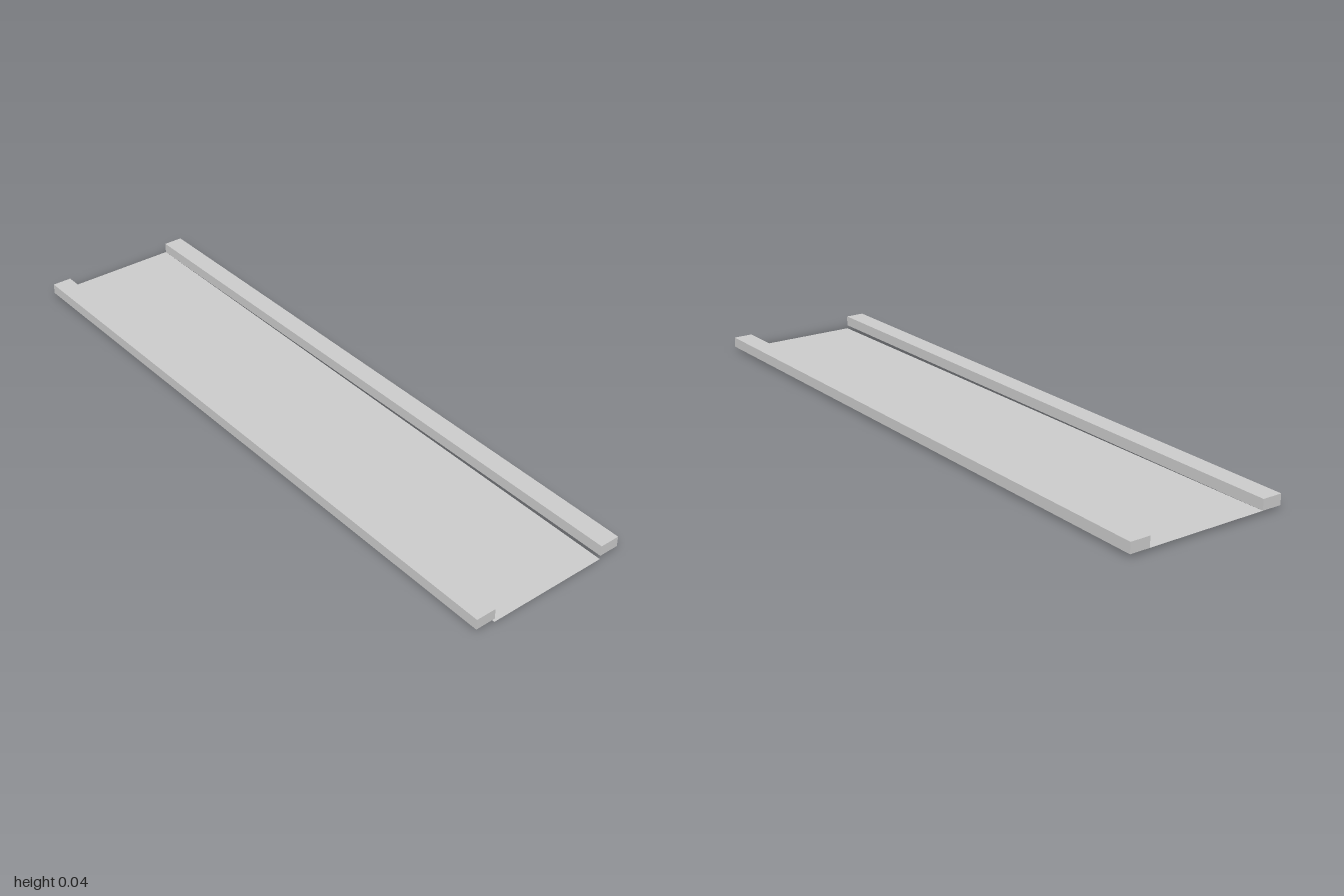
import * as THREE from 'three';

const LENGTH = 2, INNER = 0.188, OUTER = 0.25, RIM = 0.011, TOP = 0.043;

export function createModel() {
  const group = new THREE.Group();
  const material = new THREE.MeshStandardMaterial({ color: 0xcccccc, flatShading: true, side: THREE.DoubleSide });

  // Thin deck sheet, sloping gently down towards the front
  const deckGeometry = new THREE.PlaneGeometry(2 * INNER, LENGTH).rotateX(-Math.PI / 2);
  const position = deckGeometry.attributes.position;
  for (let i = 0; i < position.count; i++) position.setY(i, position.getZ(i) > 0 ? 0 : RIM);
  deckGeometry.computeVertexNormals();
  const deck = new THREE.Mesh(deckGeometry, material);
  deck.name = 'deck';
  group.add(deck);

  // Hollow curbs along both sides: boxes without their bottom face
  for (const side of [1, -1]) {
    const geometry = new THREE.BoxGeometry(OUTER - INNER, TOP - RIM, LENGTH);
    const index = Array.from(geometry.index.array);
    index.splice(18, 6);
    geometry.setIndex(index);
    geometry.clearGroups();
    const curb = new THREE.Mesh(geometry, material);
    curb.position.set(side * (INNER + OUTER) / 2, (RIM + TOP) / 2, 0);
    curb.name = side > 0 ? 'leftCurb' : 'rightCurb';
    group.add(curb);
  }
  return group;
}
